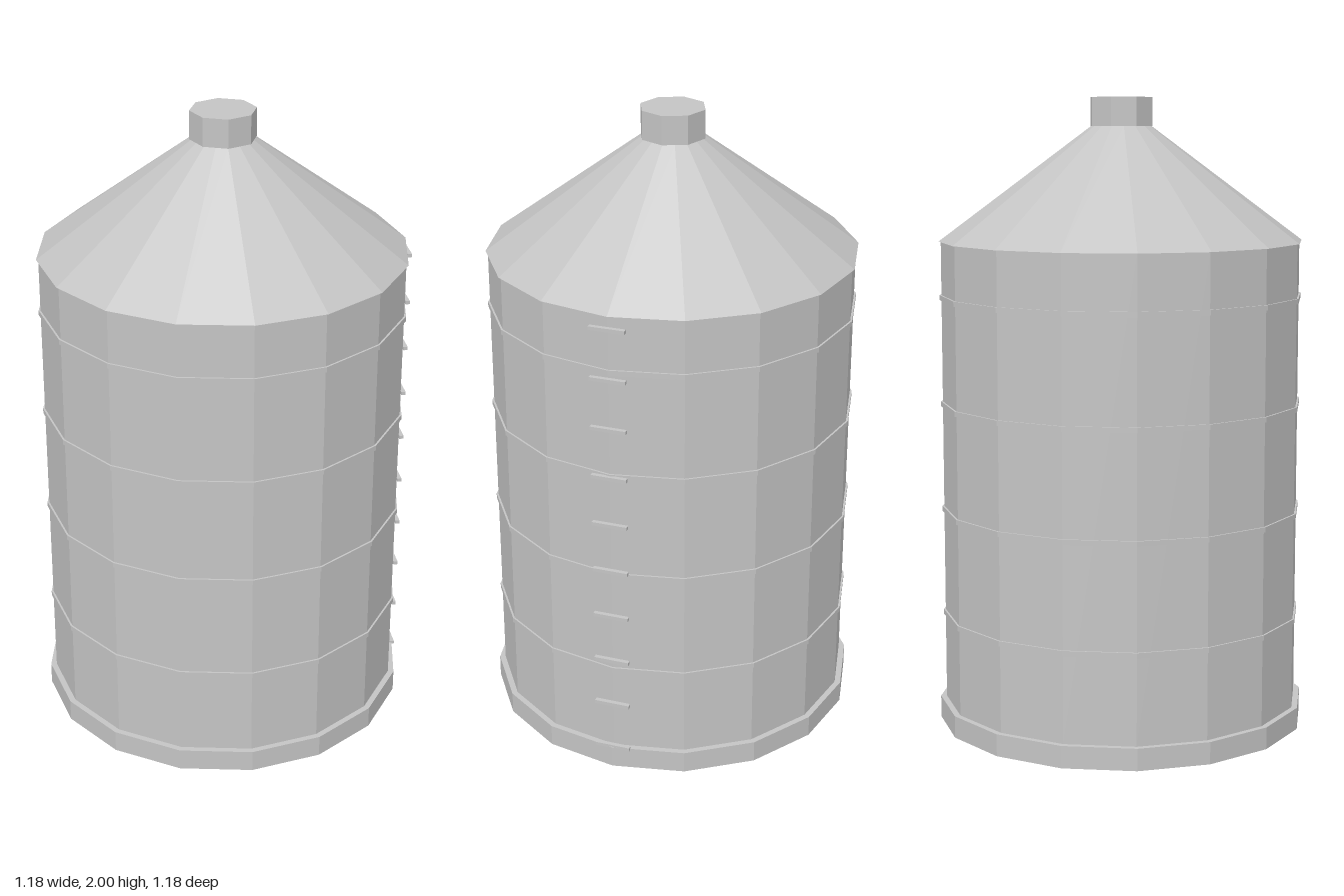
import * as THREE from 'three';

export function createModel() {
  const silo = new THREE.Group();
  silo.name = 'silo';
  const steel = new THREE.MeshStandardMaterial({ color: 0xc4c4c4, flatShading: true });
  steel.name = 'galvanised steel';

  const SIDES = 16;
  const add = (name, geometry, x, y) => {
    const mesh = new THREE.Mesh(geometry, steel);
    mesh.name = name;
    mesh.position.set(x, y, 0);
    silo.add(mesh);
  };
  // Upright prism or frustum between two heights
  const drum = (name, rTop, rBottom, y0, y1, sides = SIDES) =>
    add(name, new THREE.CylinderGeometry(rTop, rBottom, y1 - y0, sides), 0, (y0 + y1) / 2);

  drum('foundation', 0.59, 0.59, 0, 0.07);
  drum('wall', 0.571, 0.571, 0.07, 1.55);
  drum('roof', 0.095, 0.578, 1.55, 1.91);
  drum('cap', 0.103, 0.103, 1.91, 2, 8);

  // Hoops around the wall
  for (let i = 0; i < 4; i++) {
    const y = 0.353 + i * 0.34;
    drum('hoop', 0.577, 0.577, y - 0.008, y + 0.008);
  }

  // Ladder rungs up the left side
  for (let i = 0; i < 10; i++) {
    add('ladderRung', new THREE.BoxGeometry(0.014, 0.011, 0.112), 0.58, 0.071 + i * 0.16);
  }
  return silo;
}
